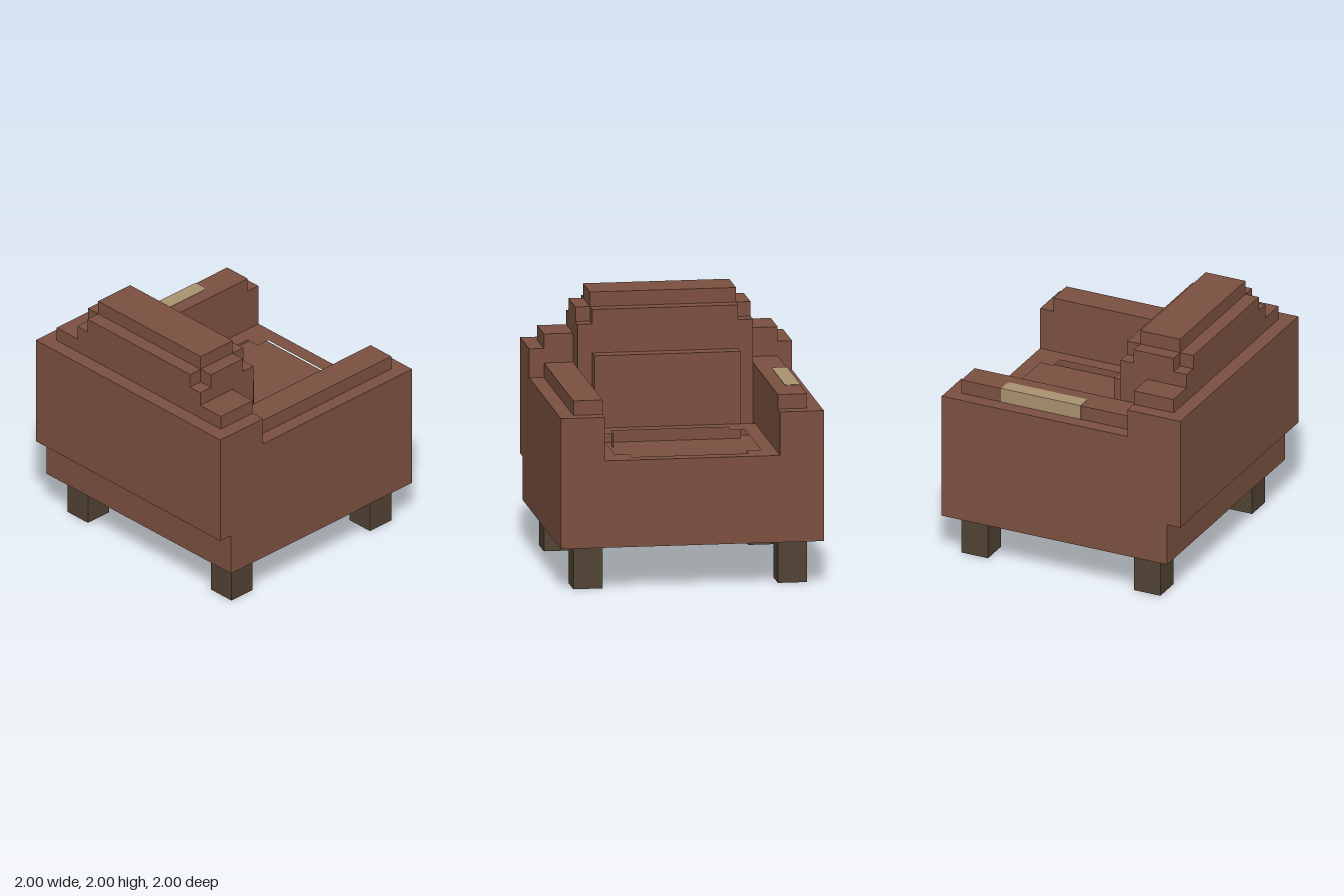
import * as THREE from 'three';

const U = 1 / 9; // one block of the stepped design

export function createModel() {
  const chair = new THREE.Group();
  chair.name = 'armchair';

  const material = (name, color) => {
    const m = new THREE.MeshStandardMaterial({ color });
    m.name = name;
    return m;
  };
  const leather = material('brown upholstery', 0x7c5140);
  const wood = material('dark wood', 0x524234);
  const tan = material('tan cloth', 0xa99271);

  const add = (name, geometry, mat) => {
    const mesh = new THREE.Mesh(geometry, mat);
    mesh.name = name;
    chair.add(mesh);
    return mesh;
  };

  // Box between two corners given in block units
  const box = (name, [x0, x1], [y0, y1], [z0, z1], mat = leather) => {
    const g = new THREE.BoxGeometry((x1 - x0) * U, (y1 - y0) * U, (z1 - z0) * U);
    g.translate((x0 + x1) / 2 * U, (y0 + y1) / 2 * U, (z0 + z1) / 2 * U);
    return add(name, g, mat);
  };

  // Rectangle with a one-block notch in every corner, as shape points (x, -z)
  const notched = (x, z0, z1) => [
    [-x + 1, z0], [x - 1, z0], [x - 1, z0 + 1], [x, z0 + 1], [x, z1 - 1], [x - 1, z1 - 1],
    [x - 1, z1], [-x + 1, z1], [-x + 1, z1 - 1], [-x, z1 - 1], [-x, z0 + 1], [-x + 1, z0 + 1],
  ].map(([px, pz]) => new THREE.Vector2(px * U, -pz * U));

  // Flat shape raised to a slab starting at height y
  const slab = (name, shape, y, height, mat = leather) => {
    const g = new THREE.ExtrudeGeometry(shape, { depth: height * U, bevelEnabled: false, curveSegments: 4 });
    g.rotateX(-Math.PI / 2);
    g.translate(0, y * U, 0);
    return add(name, g, mat);
  };

  // Base, seat block and rear panel
  box('base', [-9, 9], [3, 6], [-9, 8]);
  box('seatBlock', [-6, 6], [6, 8], [-9, 8]);
  box('rearPanel', [-9, 9], [6, 14], [8, 9]);

  // Seat rim around a shallow sunken cushion
  const rim = new THREE.Shape([[-6, 9], [6, 9], [6, -2], [-6, -2]].map(([x, y]) => new THREE.Vector2(x * U, y * U)));
  rim.holes.push(new THREE.Path(notched(5, -8, 1)));
  slab('seatRim', rim, 8, 1);

  // Backrest with stepped crown and front cushion
  box('backrest', [-6, 6], [8, 16], [3, 8]);
  slab('backrestCrown', new THREE.Shape(notched(6, 3, 8)), 16, 1);
  box('backrestTop', [-5, 5], [17, 18], [4, 7]);
  box('backCushion', [-5, 5], [8, 14], [2, 3]);

  // Arms, rear posts and legs, mirrored
  for (const s of [-1, 1]) {
    const side = (a, b) => (s > 0 ? [a, b] : [-b, -a]);
    const label = s > 0 ? 'left' : 'right';
    box(label + 'Arm', side(6, 9), [6, 12], [-9, 5]);
    box(label + 'ArmPad', side(6, 8), [12, 13], [-8, 5]);
    box(label + 'RearPost', side(6, 9), [6, 14], [5, 8]);
    box(label + 'RearPostCap', side(6, 8), [14, 15], [5, 8]);
    box(label + 'FrontLeg', side(6, 8), [0, 3], [-8, -6], wood);
    box(label + 'BackLeg', side(6, 8), [0, 3], [5, 7], wood);
  }

  // Thin cloth over the right arm pad: top with two rounded corners, and side
  const r = 0.25, x0 = -8, x1 = -6.95, y0 = -1, y1 = 5;
  const cloth = new THREE.Shape();
  cloth.moveTo(x0 * U, y0 * U);
  cloth.lineTo((x1 - r) * U, y0 * U);
  cloth.quadraticCurveTo(x1 * U, y0 * U, x1 * U, (y0 + r) * U);
  cloth.lineTo(x1 * U, (y1 - r) * U);
  cloth.quadraticCurveTo(x1 * U, y1 * U, (x1 - r) * U, y1 * U);
  cloth.lineTo(x0 * U, y1 * U);
  slab('clothTop', cloth, 13, 0.03, tan);
  box('clothSide', [-8.03, -8], [12, 13.03], [-5, 1], tan);

  return chair;
}
